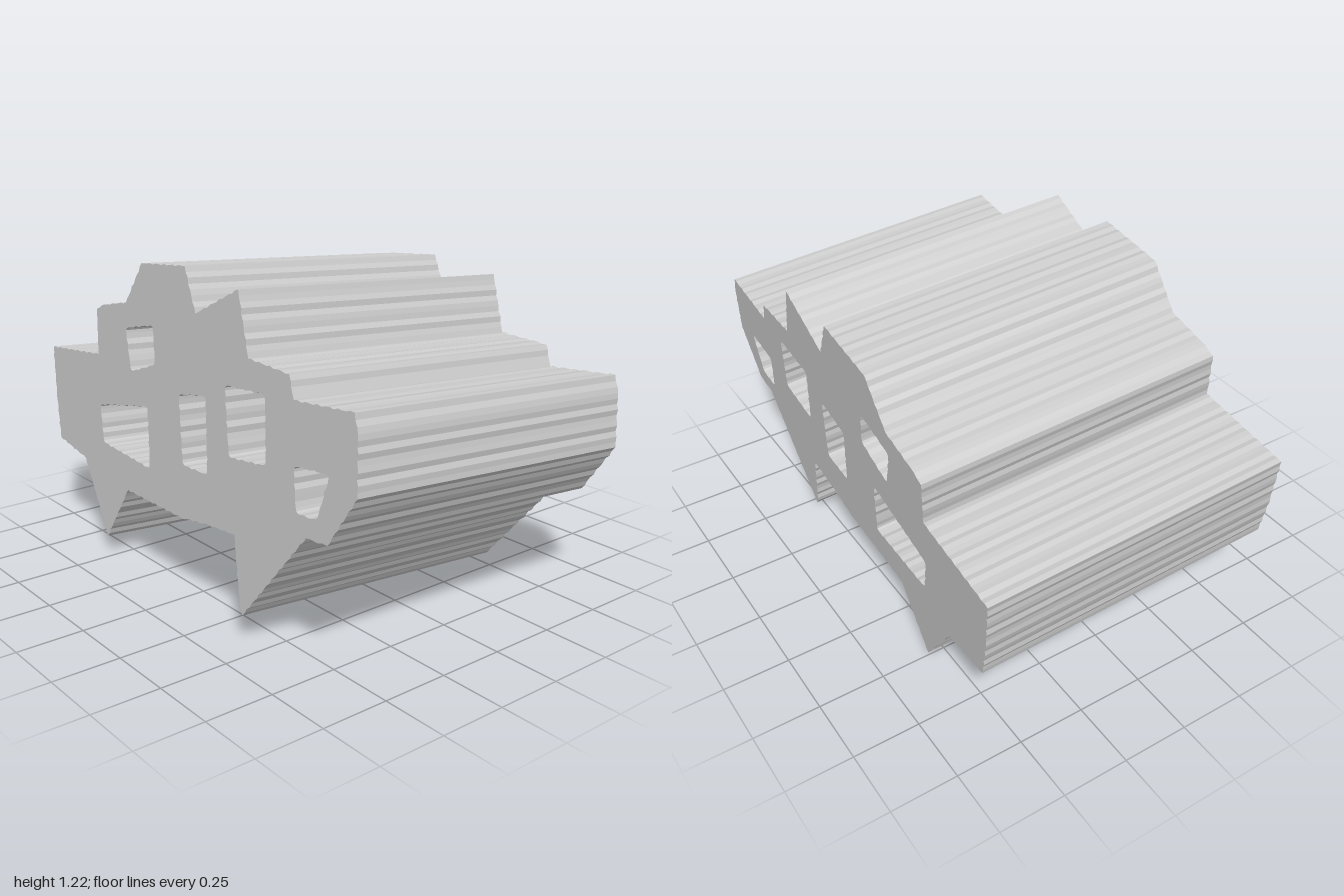
import * as THREE from 'three';

// Front outline of the slab, clockwise from the left shoulder
const OUTLINE = [
  [-1, 0.75], [-0.61, 0.795], [-0.625, 0.97], [-0.585, 0.99], [-0.4, 1.03], [-0.29, 1.19],
  [0, 1.22], [0.075, 1.07], [0.325, 1.19], [0.395, 0.98], [0.615, 0.975], [0.645, 0.9],
  [0.935, 0.93], [0.955, 0.87], [0.97, 0.68], [0.845, 0.495], [0.74, 0.485], [0.42, 0.105],
  [0.405, 0.125], [0.355, 0.37], [0.2, 0.355], [0.02, 0.325], [-0.365, 0.315], [-0.52, 0.08],
  [-0.71, 0.35], [-0.93, 0.38], [-0.965, 0.53],
];

// Five openings through the whole depth, counter-clockwise so their walls face inwards
const HOLES = [
  [[-0.56, 0.455], [-0.205, 0.445], [-0.23, 0.675], [-0.59, 0.6]],
  [[-0.355, 0.78], [-0.183, 0.84], [-0.205, 0.98], [-0.4, 0.935]],
  [[0.02, 0.522], [0.18, 0.53], [0.155, 0.8], [-0.018, 0.77]],
  [[0.305, 0.627], [0.515, 0.655], [0.495, 0.883], [0.267, 0.865]],
  [[0.685, 0.548], [0.79, 0.56], [0.838, 0.717], [0.66, 0.695]],
];

// Cuts each corner into a short curve
function roundCorners(points, radius) {
  const out = [];
  const v = points.map(([x, y]) => new THREE.Vector2(x, y));
  v.forEach((p, i) => {
    const prev = v[(i + v.length - 1) % v.length], next = v[(i + 1) % v.length];
    const a = p.clone().add(prev.clone().sub(p).setLength(radius));
    const b = p.clone().add(next.clone().sub(p).setLength(radius));
    out.push(...new THREE.QuadraticBezierCurve(a, p, b).getPoints(3));
  });
  return out;
}

// Splits edges into short steps and offsets them a little, for ridged walls
function ridge(points, step, amount) {
  const out = [];
  let n = 0;
  points.forEach((p, i) => {
    const q = points[(i + 1) % points.length];
    const dir = q.clone().sub(p);
    const count = Math.max(1, Math.round(dir.length() / step));
    const normal = new THREE.Vector2(-dir.y, dir.x).normalize();
    for (let k = 0; k < count; k++) {
      const offset = k === 0 ? 0 : amount * Math.sin(++n * 2.4);
      out.push(p.clone().addScaledVector(dir, k / count).addScaledVector(normal, offset));
    }
  });
  return out;
}

export function createModel() {
  const group = new THREE.Group();
  group.name = 'piercedBlock';

  const shape = new THREE.Shape(ridge(OUTLINE.map(([x, y]) => new THREE.Vector2(x, y)), 0.02, 0.003));
  for (const hole of HOLES) {
    shape.holes.push(new THREE.Path(ridge(roundCorners(hole, 0.018), 0.02, 0.003)));
  }
  const geometry = new THREE.ExtrudeGeometry(shape, { depth: 1, bevelEnabled: false });

  // Lean the block: the depth axis drops and drifts sideways, the caps stay square to it
  const pos = geometry.attributes.position;
  for (let i = 0; i < pos.count; i++) {
    const x = pos.getX(i), y = pos.getY(i), t = 1 - pos.getZ(i);
    pos.setXYZ(i, x + 0.03 * t, y - 0.078 * t, 0.62 + 0.026 * x - 0.065 * y - 1.16 * t);
  }
  geometry.computeVertexNormals();

  const body = new THREE.Mesh(
    geometry,
    new THREE.MeshStandardMaterial({ color: 0xcccccc, flatShading: true })
  );
  body.name = 'body';
  group.add(body);
  return group;
}
